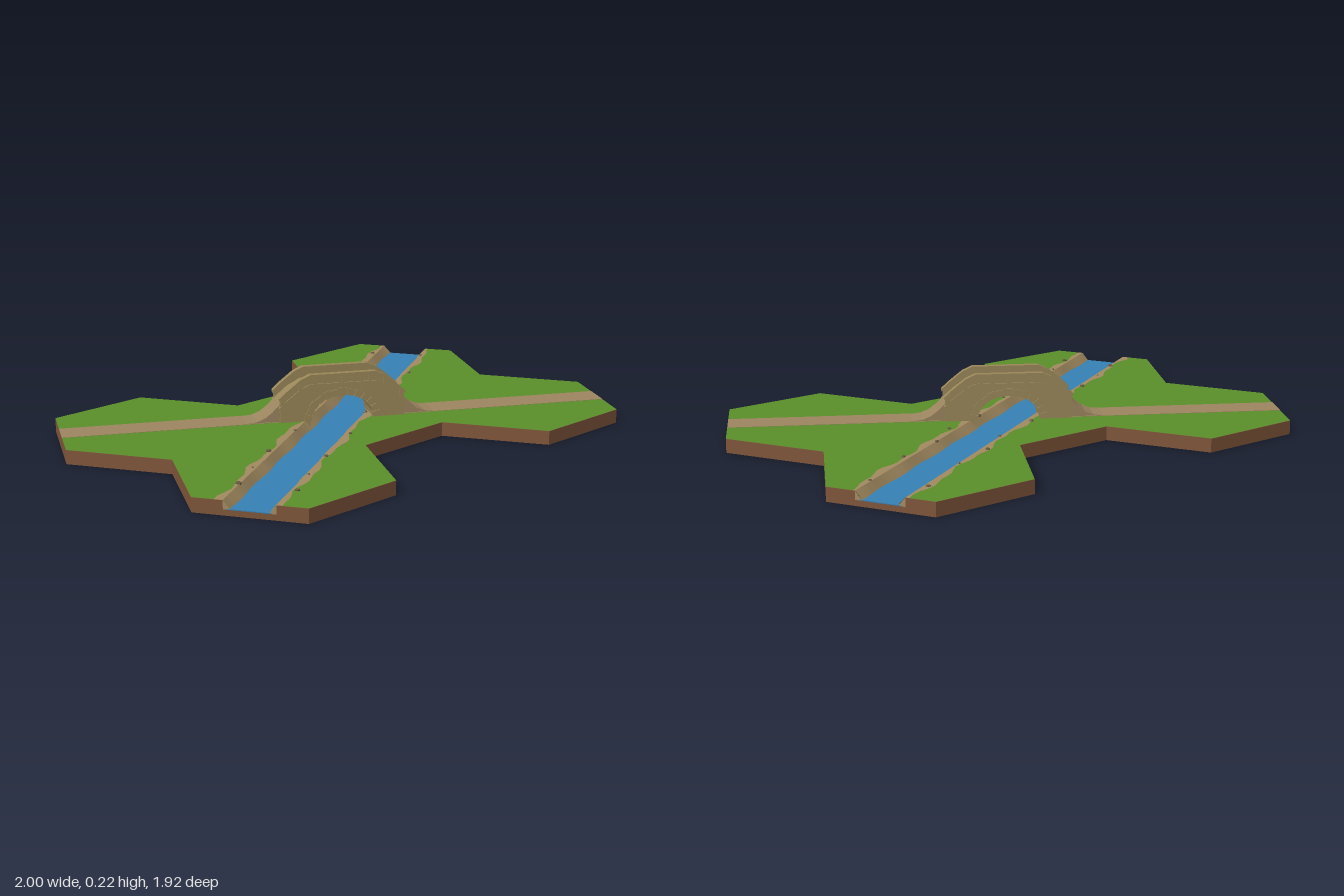
import * as THREE from 'three';

const mat = (name, color, side = THREE.FrontSide) => {
  const m = new THREE.MeshStandardMaterial({ color, side });
  m.name = name;
  return m;
};
const GROUND = 0.05, BED = 0.02, LIP = 0.088;

export function createModel() {
  const soil = mat('soil', 0x7d5439);
  const grass = mat('grass', 0x5a8f2b);
  const water = mat('water', 0x3580b4);
  const earth = mat('bankEarth', 0xa18a60, THREE.DoubleSide);
  const path = mat('path', 0x9c8560);
  const stone = mat('stone', 0x9a8759);
  const pebble = mat('pebble', 0x665640);

  const model = new THREE.Group();
  model.name = 'riverCrossing';
  const add = (parent, name, geo, material) => {
    const m = new THREE.Mesh(geo, material);
    m.name = name;
    parent.add(m);
    return m;
  };

  // River frame: t runs along the river, w across it
  const at = (t, w) => [0.5 * t + 0.866 * w, -0.866 * t + 0.5 * w];
  const planShape = pts => new THREE.Shape(pts.map(([x, z]) => new THREE.Vector2(x, -z)));
  const slab = (pts, y0, y1) => new THREE.ExtrudeGeometry(planShape(pts), { depth: y1 - y0, bevelEnabled: false })
    .rotateX(-Math.PI / 2).translate(0, y0, 0);

  // Outline of the five joined hexagons: one half, then its half turn
  const side = [[0.667, -0.77], [0.667, -0.385], [1, -0.192], [1, 0.192], [0.667, 0.385],
    [0.333, 0.192], [0, 0.385], [0, 0.77], [-0.333, 0.962]];
  const rim = [...side, ...side.map(([x, z]) => [-x, -z])];
  add(model, 'soilBase', slab(rim, 0, BED), soil);

  // Water surface
  const waterPts = [at(-1, -0.075), at(1, -0.075), at(1, 0.075), at(-1, 0.075)];
  add(model, 'water', slab(waterPts, BED, 0.023), water);

  // Each side of the river: soil, grass cap, bank and pebbles
  const N = 56;
  const buildSide = (name, seed) => {
    const g = new THREE.Group();
    g.name = name;
    model.add(g);
    const edge = t => 0.109 + 0.009 * Math.sin(17 * t + seed) + 0.006 * Math.sin(41 * t + 2 * seed);
    const ts = Array.from({ length: N + 1 }, (_, i) => -1 + 2 * i / N);
    add(g, 'soilLayer', slab([at(-1, LIP), at(1, LIP), ...side], BED, GROUND), soil);

    const cap = new THREE.ShapeGeometry(planShape([...ts.map(t => at(t, edge(t))), ...side]));
    add(g, 'grass', cap.rotateX(-Math.PI / 2).translate(0, GROUND + 0.0008, 0), grass);

    // Earth bank lofted from the grass edge down to the water
    const pos = [], idx = [];
    ts.forEach((t, i) => {
      const inner = 0.061 + 0.004 * Math.sin(23 * t + seed);
      [[edge(t), GROUND + 0.001], [LIP, GROUND + 0.001], [inner, BED - 0.001]].forEach(([w, y]) => {
        const [x, z] = at(t, w);
        pos.push(x, y, z);
      });
      if (i === N) return;
      for (let c = 0; c < 2; c++) {
        const a = i * 3 + c;
        idx.push(a, a + 3, a + 1, a + 1, a + 3, a + 4);
      }
    });
    let bank = new THREE.BufferGeometry();
    bank.setAttribute('position', new THREE.Float32BufferAttribute(pos, 3));
    bank.setIndex(idx);
    bank = bank.toNonIndexed();
    bank.computeVertexNormals();
    add(g, 'bank', bank, earth);

    // Triangles closing the bank at both ends
    for (const t of [-1, 1]) {
      const p = [[LIP, BED], [LIP, GROUND], [0.062, BED]].flatMap(([w, y]) => {
        const [x, z] = at(t, w);
        return [x, y, z];
      });
      const tri = new THREE.BufferGeometry();
      tri.setAttribute('position', new THREE.Float32BufferAttribute(p, 3));
      tri.computeVertexNormals();
      add(g, 'bankEnd', tri, earth);
    }

    // Pebbles strewn along the bank
    for (let i = 0; i < 9; i++) {
      const t = -0.88 + 0.22 * i + 0.05 * Math.sin(5 * i + seed);
      const [x, z] = at(t, 0.1 + 0.014 * Math.sin(9 * i + seed));
      const s = 0.008 + 0.003 * Math.sin(3 * i + seed);
      const rock = add(g, 'pebble', new THREE.DodecahedronGeometry(s), pebble);
      rock.position.set(x, GROUND + 0.001, z);
      rock.scale.y = 0.7;
      rock.rotation.y = i;
    }
    return g;
  };
  buildSide('rightLand', 0.7);
  buildSide('leftLand', 2.9).rotation.y = Math.PI;

  // Flat path on both sides
  for (const s of [-1, 1]) {
    add(model, 'path', new THREE.BoxGeometry(0.78, 0.004, 0.11).translate(s * 0.61, GROUND, 0), path);
  }

  // Bridge pieces are profiles in x and y, extruded along z
  const bridge = new THREE.Group();
  bridge.name = 'bridge';
  model.add(bridge);
  const RX = 0.116, RY = 0.092;
  const arch = Array.from({ length: 17 }, (_, i) => {
    const a = Math.PI * (1 - i / 16);
    return [RX * Math.cos(a), GROUND + RY * Math.sin(a)];
  });
  const profile = (pts, z0, z1) => new THREE.ExtrudeGeometry(
    new THREE.Shape(pts.map(([x, y]) => new THREE.Vector2(x, y))), { depth: z1 - z0, bevelEnabled: false })
    .translate(0, 0, z0);
  const mirrored = half => [...half, ...half.map(([x, y]) => [-x, y]).reverse()];
  const foot = 0.03;
  const archedBody = half => [[-RX, foot], ...arch, [RX, foot], ...mirrored(half)];

  // Stone deck and the curved earth ramps leading onto it
  add(bridge, 'deck', profile(archedBody([[0.23, foot], [0.23, 0.112], [0.18, 0.155], [0.13, 0.182]]),
    -0.052, 0.052), stone);
  const ramp = [[0.225, foot], [0.35, foot], [0.35, 0.0515], [0.31, 0.056], [0.28, 0.068], [0.255, 0.087], [0.225, 0.116]];
  for (const s of [-1, 1]) {
    add(bridge, 'ramp', profile(ramp.map(([x, y]) => [s * x, y]), -0.05, 0.05), path);
  }

  // Strip that follows the parapet slope, offset down from the top
  const strip = (top, bottom) => {
    const line = d => mirrored([[0.232, 0.141 - d], [0.205, 0.166 - d], [0.155, 0.206 - d], [0.12, 0.222 - d]]);
    return [...line(top), ...line(bottom).reverse()];
  };
  const wall = archedBody([[0.228, foot], [0.228, 0.138], [0.205, 0.162], [0.155, 0.202], [0.12, 0.218]]);
  for (const s of [-1, 1]) {
    const between = (a, b) => (s > 0 ? [a, b] : [-b, -a]);
    add(bridge, 'sideWall', profile(wall, ...between(0.051, 0.064)), stone);
    add(bridge, 'coping', profile(strip(0, 0.009), ...between(0.048, 0.07)), stone);
    add(bridge, 'stringCourse', profile(strip(0.035, 0.042), ...between(0.052, 0.069)), stone);

    // Parapet posts
    for (const [x, y] of [[-0.218, 0.13], [-0.155, 0.183], [-0.1, 0.199], [0, 0.199], [0.1, 0.199], [0.155, 0.183], [0.218, 0.13]]) {
      add(bridge, 'parapetPost', new THREE.BoxGeometry(0.012, 0.034, 0.018).translate(x, y, s * 0.0595), stone);
    }

    // Wedge stones around the arch
    for (let i = 0; i < 13; i++) {
      const a0 = Math.PI * (i + 0.07) / 13, a1 = Math.PI * (i + 0.93) / 13;
      const p = (k, a) => [(RX + k) * Math.cos(a), GROUND + (RY + k) * Math.sin(a)];
      const d = i % 2 ? 0.022 : 0.026;
      add(bridge, 'archStone', profile([p(-0.002, a0), p(d, a0), p(d, a1), p(-0.002, a1)],
        ...between(0.05, 0.068)), stone);
    }
  }
  return model;
}
